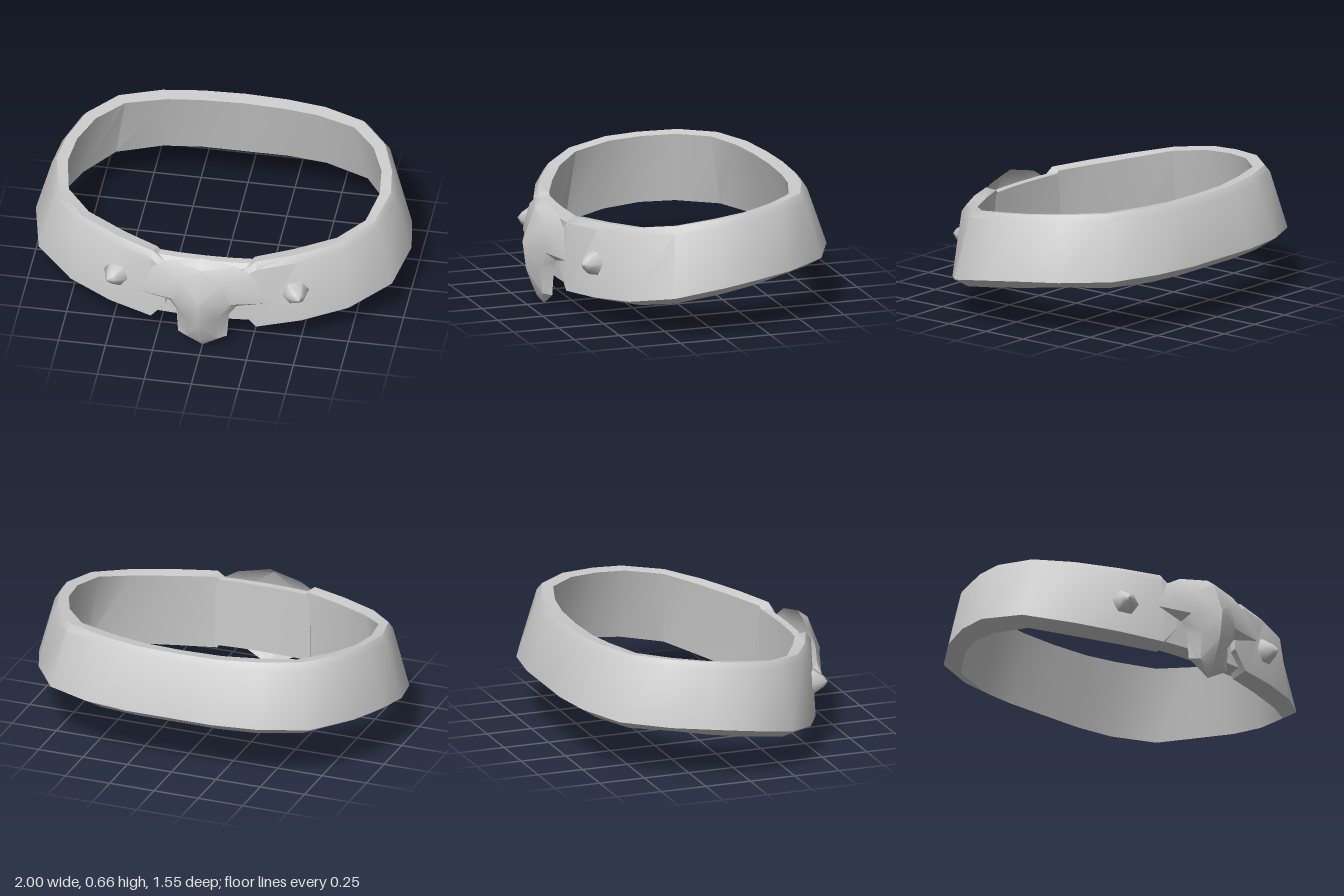
import * as THREE from 'three';
import { toCreasedNormals } from 'three/addons/utils/BufferGeometryUtils.js';

const material = new THREE.MeshStandardMaterial({ color: 0xcccccc });
const thinMaterial = new THREE.MeshStandardMaterial({ color: 0xcccccc, side: THREE.DoubleSide });

function build(points, index, crease) {
  const g = new THREE.BufferGeometry();
  g.setAttribute('position', new THREE.Float32BufferAttribute(points.flat(), 3));
  g.setIndex(index);
  return toCreasedNormals(g, crease);
}

// Skins a row of closed cross-sections and caps both ends
function loft(rings, crease = 0.6) {
  const n = rings[0].length, last = (rings.length - 1) * n, index = [];
  for (let i = 0; i < rings.length - 1; i++) {
    for (let j = 0; j < n; j++) {
      const k = (j + 1) % n;
      const a = i * n + j, b = a + n, c = (i + 1) * n + k, d = i * n + k;
      index.push(a, b, c, a, c, d);
    }
  }
  for (let j = 1; j < n - 1; j++) {
    index.push(0, j, j + 1, last, last + j + 1, last + j);
  }
  return build(rings.flat(), index, crease);
}

// Belt stations on the left half, front to back:
// top outer x,z | bottom outer x,z | inner x,z | top y, outer bottom y, inner bottom y
const stations = [
  [0.20, 0.630, 0.20, 0.640, 0.20, 0.545, 0.48, 0.24, 0.22],
  [0.28, 0.615, 0.28, 0.630, 0.26, 0.535, 0.54, 0.14, 0.115],
  [0.49, 0.530, 0.51, 0.555, 0.45, 0.450, 0.55, 0.155, 0.125],
  [0.70, 0.410, 0.74, 0.440, 0.66, 0.335, 0.565, 0.18, 0.145],
  [0.86, 0.230, 0.94, 0.260, 0.79, 0.200, 0.595, 0.23, 0.185],
  [0.915, 0.00, 1.00, 0.000, 0.83, 0.000, 0.625, 0.28, 0.225],
  [0.89, -0.17, 0.97, -0.19, 0.81, -0.17, 0.64, 0.30, 0.25],
  [0.82, -0.38, 0.89, -0.40, 0.74, -0.34, 0.655, 0.31, 0.265],
  [0.67, -0.56, 0.73, -0.63, 0.61, -0.49, 0.66, 0.32, 0.265],
  [0.45, -0.65, 0.485, -0.745, 0.40, -0.56, 0.66, 0.33, 0.265],
  [0.23, -0.69, 0.24, -0.78, 0.22, -0.59, 0.655, 0.33, 0.265],
];

function beltRing([tx, tz, bx, bz, ix, iz, top, bottom, innerBottom], side) {
  return [
    [bx, bottom, bz],
    [tx, top - 0.035, tz],
    [tx + (ix - tx) * 0.3, top, tz + (iz - tz) * 0.3],
    [ix, top - 0.01, iz],
    [ix + bx - tx, innerBottom, iz + bz - tz],
  ].map(([x, y, z]) => [x * side, y, z]);
}

function makeBelt() {
  const back = [0, -0.70, 0, -0.78, 0, -0.60, 0.655, 0.33, 0.265];
  return loft([
    ...stations.map(s => beltRing(s, 1)),
    beltRing(back, 1),
    ...[...stations].reverse().map(s => beltRing(s, -1)),
  ]);
}

// Lower strap joining the two belt ends behind the buckle
function makeFrontStrap() {
  return loft([-0.27, -0.14, 0, 0.14, 0.27].map(x => {
    const z = -0.2 * x * x;
    return [
      [x, 0.16, 0.615 + z], [x, 0.49, 0.61 + z], [x, 0.515, 0.59 + z],
      [x, 0.515, 0.55 + z], [x, 0.135, 0.55 + z],
    ];
  }));
}

// Faceted buckle: rim, raised centre ridge and cheek points of one half, mirrored
function makeBuckle() {
  const half = [
    [0, 0.57, 0.65], [0.18, 0.53, 0.64], [0.27, 0.475, 0.64], [0.335, 0.32, 0.655],
    [0.18, 0.28, 0.65], [0.14, 0.22, 0.65], [0.13, 0.08, 0.655], [0, 0.005, 0.655],
    [0, 0.53, 0.705], [0, 0.35, 0.775], [0, 0.2, 0.755], [0, 0.05, 0.695],
    [0.12, 0.45, 0.70], [0.22, 0.38, 0.69], [0.15, 0.32, 0.70], [0.09, 0.23, 0.715],
    [0.08, 0.08, 0.69],
  ];
  const faces = [
    [0, 8, 1], [8, 12, 1], [8, 9, 12], [12, 2, 1], [12, 13, 2], [13, 3, 2],
    [9, 14, 12], [12, 14, 13], [14, 3, 13], [14, 4, 3], [9, 15, 14], [15, 4, 14],
    [9, 10, 15], [15, 5, 4], [10, 16, 15], [15, 16, 5], [16, 6, 5],
    [10, 11, 16], [11, 7, 16], [7, 6, 16],
  ];
  const n = half.length;
  const points = [...half, ...half.map(([x, y, z]) => [-x, y, z])];
  const index = faces.flatMap(([a, b, c]) => [a, b, c, n + a, n + c, n + b]);
  return build(points, index, 0.55);
}

export function createModel() {
  const model = new THREE.Group();
  const add = (name, geometry, mat = material) => {
    const mesh = new THREE.Mesh(geometry, mat);
    mesh.name = name;
    model.add(mesh);
    return mesh;
  };

  add('belt', makeBelt());
  add('frontStrap', makeFrontStrap());
  add('buckle', makeBuckle(), thinMaterial);

  // Pointed studs on both sides of the buckle
  const profile = [[0, 0.085], [0.03, 0.065], [0.072, 0.01], [0.06, -0.02]]
    .reverse().map(([r, y]) => new THREE.Vector2(r, y));
  const stud = new THREE.LatheGeometry(profile, 6);
  for (const side of [1, -1]) {
    const mesh = add(side > 0 ? 'leftStud' : 'rightStud', stud);
    mesh.position.set(side * 0.475, 0.335, 0.545);
    mesh.quaternion.setFromUnitVectors(
      new THREE.Vector3(0, 1, 0),
      new THREE.Vector3(side * 0.42, 0, 0.91).normalize());
  }
  return model;
}
